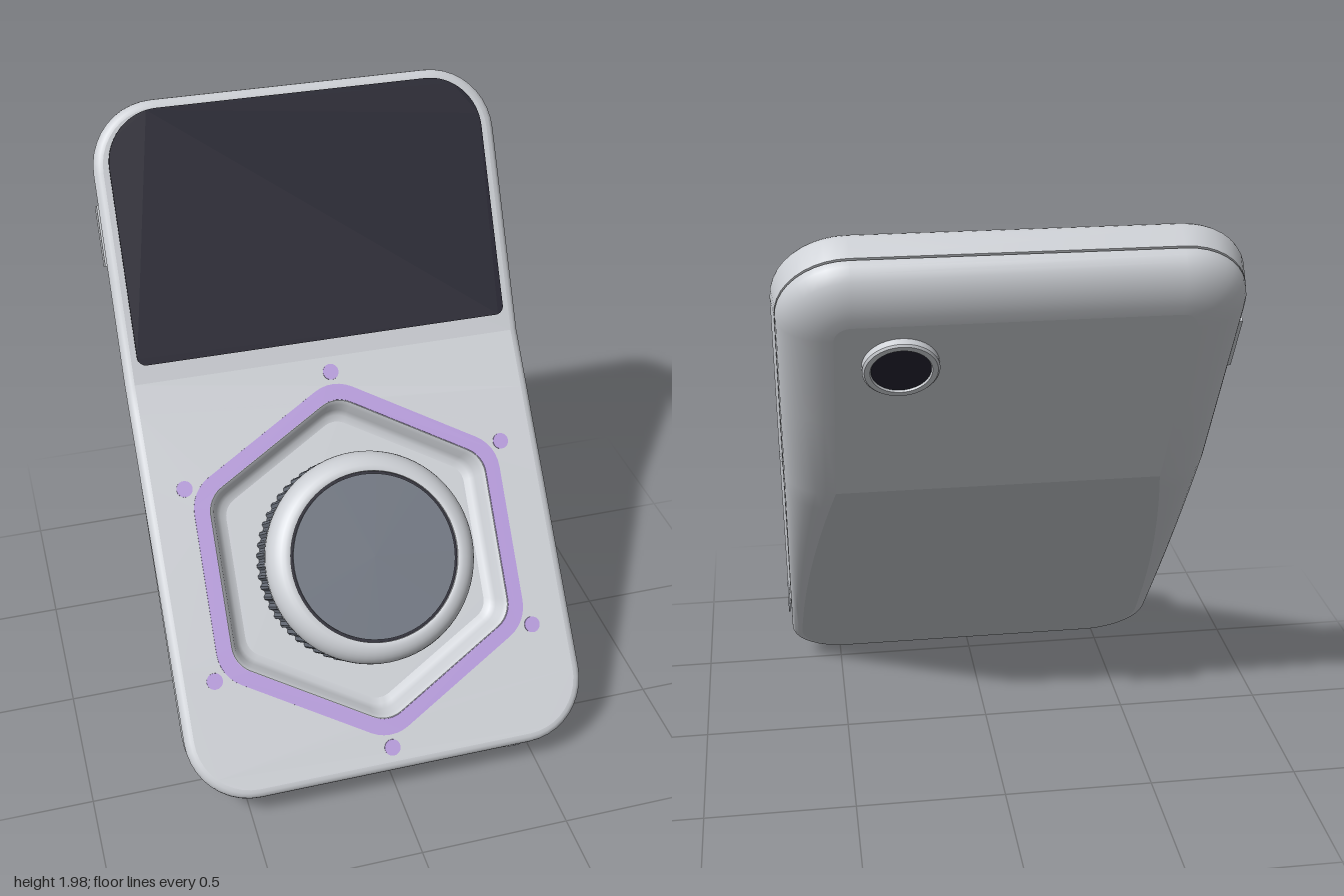
import * as THREE from 'three';
import { toCreasedNormals } from 'three/addons/utils/BufferGeometryUtils.js';

const mat = (name, color) => Object.assign(new THREE.MeshStandardMaterial({ color }), { name });
const { PI, cos, sin, sqrt, tan, abs } = Math;

// Device frame: x across, s along the front face (0 at the bend), d depth behind it
const W = 0.69, LOW = 1.405, UP = 0.92, THICK = 0.208, R = 0.22;
const LOW_TILT = 0.705, UP_TILT = 0.512, BEND_Y = 1.2, BEND_Z = -0.17;
const MITER = tan((LOW_TILT - UP_TILT) / 2);

function place(x, s, d) {
  const low = s < 0, tilt = low ? LOW_TILT : UP_TILT;
  const t = s + (low ? 1 : -1) * MITER * d * (1 - abs(s) / (low ? LOW : UP));
  return new THREE.Vector3(x, BEND_Y + t * cos(tilt) - d * sin(tilt), BEND_Z - t * sin(tilt) - d * cos(tilt));
}

function mesh(name, geometry, material, parent, x = 0, y = 0, z = 0) {
  const m = new THREE.Mesh(geometry, material);
  m.name = name;
  m.position.set(x, y, z);
  parent.add(m);
  return m;
}

// Closed rings joined into a skin
function loft(rings, crease) {
  const n = rings[0].length, index = [];
  for (let i = 0; i + 1 < rings.length; i++) {
    for (let j = 0; j < n; j++) {
      const k = (j + 1) % n, a = i * n + j, b = i * n + k;
      index.push(a, a + n, b, b, a + n, b + n);
    }
  }
  const g = new THREE.BufferGeometry().setFromPoints(rings.flat());
  g.setIndex(index);
  return toCreasedNormals(g, crease);
}

// Rounded outline of the body with its outward directions, counterclockwise
function outline() {
  const pts = [], sides = [-1.1, -0.95, -0.8, -0.65, -0.5, -0.35, -0.2, -0.1, 0, 0.35];
  const corner = (cx, cs, from) => {
    for (let i = 0; i <= 10; i++) {
      const a = from + (i / 10) * PI / 2;
      pts.push({ x: cx + R * cos(a), s: cs + R * sin(a), nx: cos(a), ns: sin(a) });
    }
  };
  corner(W - R, R - LOW, -PI / 2);
  sides.forEach(s => pts.push({ x: W, s, nx: 1, ns: 0 }));
  corner(W - R, UP - R, 0);
  corner(R - W, UP - R, PI / 2);
  [...sides].reverse().forEach(s => pts.push({ x: -W, s, nx: -1, ns: 0 }));
  corner(R - W, R - LOW, PI);
  return pts;
}

// Flat face filling one half of a body ring
function halfFace(ring, low, d, holes, back) {
  const shape = new THREE.Shape(ring.filter(p => (low ? p.s < 1e-6 : p.s > -1e-6)).map(p => new THREE.Vector2(p.x, p.s)));
  shape.holes = holes;
  const g = new THREE.ShapeGeometry(shape), pos = g.attributes.position;
  for (let i = 0; i < pos.count; i++) {
    const p = place(pos.getX(i), pos.getY(i), d);
    pos.setXYZ(i, p.x, p.y, p.z);
  }
  if (back) g.index.array.reverse();
  g.computeVertexNormals();
  return g;
}

// Hexagon with rounded corners around the knob
const HEX_X = -0.005, HEX_S = -0.69;
function hexagon(apothem, r) {
  const pts = [];
  for (let k = 0; k < 6; k++) {
    const mid = PI / 2 + k * PI / 3 - 0.01, c = (apothem - r) / cos(PI / 6);
    for (let i = 0; i <= 6; i++) {
      const a = mid + (i / 6 - 0.5) * PI / 3;
      pts.push(new THREE.Vector2(HEX_X + c * cos(mid) + r * cos(a), HEX_S + c * sin(mid) + r * sin(a)));
    }
  }
  return pts;
}

function roundRect(x0, y0, x1, y1, rb, rt) {
  const s = new THREE.Shape();
  s.absarc(x1 - rb, y0 + rb, rb, -PI / 2, 0);
  s.absarc(x1 - rt, y1 - rt, rt, 0, PI / 2);
  s.absarc(x0 + rt, y1 - rt, rt, PI / 2, PI);
  s.absarc(x0 + rb, y0 + rb, rb, PI, PI * 1.5);
  s.closePath();
  return s;
}

const plate = (shape, depth) => new THREE.ExtrudeGeometry(shape, { depth, bevelEnabled: false, curveSegments: 16 });

export function createModel() {
  const shell = mat('shell grey', 0xcccfd4), backGrey = mat('back panel grey', 0xc0c5c9);
  const accent = mat('lilac', 0xb79cdc), dark = mat('screen black', 0x242330);
  const knobGrey = mat('knob grey', 0x6f7580), hollow = mat('hollow grey', 0x909399);

  const model = new THREE.Group();
  model.name = 'handheldDevice';
  const half = (name, tilt) => {
    const g = new THREE.Group();
    g.name = name;
    g.position.set(0, BEND_Y, BEND_Z);
    g.rotation.x = -tilt;
    model.add(g);
    return g;
  };
  const lower = half('lowerHalf', LOW_TILT), upper = half('upperHalf', UP_TILT);

  // Body skin: small front rounding, seam groove, large back rounding that fades out downwards
  const base = outline(), flat = [];
  const addRing = f => flat.push(base.map(p => {
    const [inset, d] = f(p.s);
    return { x: p.x - p.nx * inset, s: p.s - p.ns * inset, d };
  }));
  for (let i = 0; i <= 4; i++) {
    const a = i / 4 * PI / 2;
    addRing(() => [0.03 * (1 - sin(a)), 0.03 * (1 - cos(a))]);
  }
  [[0.009, 0.099], [0.017, 0.1], [0.017, 0.105], [0.01, 0.106]].forEach(r => addRing(() => r));
  for (let i = 0; i <= 8; i++) {
    const a = i / 8 * PI / 2;
    addRing(s => {
      const k = s >= 0 ? 1 : 0.2 + 0.8 * (1 + s / LOW) ** 2;
      return [0.01 + 0.16 * k * (1 - cos(a)), THICK - 0.1 * k * (1 - sin(a))];
    });
  }
  mesh('bodySides', loft(flat.map(r => r.map(p => place(p.x, p.s, p.d))), 0.6), shell, model);

  const front = flat[0], back = flat[flat.length - 1];
  mesh('lowerFront', halfFace(front, true, 0, [new THREE.Path(hexagon(0.48, 0.1))]), shell, model);
  mesh('upperFront', halfFace(front, false, 0, []), shell, model);
  mesh('upperBack', halfFace(back, false, THICK, [], true), shell, model);
  mesh('backPanel', halfFace(back, true, THICK, [], true), backGrey, model);

  // Screen
  mesh('screen', plate(roundRect(-0.64, 0.06, 0.64, 0.888, 0.03, 0.18), 0.008), dark, upper);

  // Hexagonal recess, its lilac ring and the six dots
  const recess = [[0.42, 0.072], [0.44, 0.066], [0.455, 0.05], [0.468, 0.01], [0.48, 0]];
  mesh('recessWall', loft(recess.map(([a, d]) =>
    hexagon(a, 0.1 - (0.48 - a) * 0.5).map(p => new THREE.Vector3(p.x, p.y, -d))), 0.7), shell, lower);
  mesh('recessFloor', new THREE.ShapeGeometry(new THREE.Shape(hexagon(0.42, 0.07))), shell, lower, 0, 0, -0.072);
  const ring = new THREE.Shape(hexagon(0.533, 0.13));
  ring.holes.push(new THREE.Path(hexagon(0.482, 0.1)));
  mesh('hexRing', plate(ring, 0.004), accent, lower);
  for (let k = 0; k < 6; k++) {
    const a = PI / 2 + k * PI / 3 - 0.01;
    const dot = mesh('dot', new THREE.CylinderGeometry(0.027, 0.027, 0.006, 24), accent, lower,
      HEX_X + 0.638 * cos(a), HEX_S + 0.638 * sin(a), 0.001);
    dot.rotation.x = PI / 2;
  }

  // Knob: ribbed grip, rounded cap, inset disc
  const knob = new THREE.Group();
  knob.name = 'knob';
  knob.position.set(0, HEX_S, 0);
  lower.add(knob);
  const ribs = [];
  for (let i = 0; i < 240; i++) {
    const a = i / 240 * PI * 2, r = i % 4 < 2 ? 0.35 : 0.341;
    ribs.push(new THREE.Vector2(r * cos(a), r * sin(a)));
  }
  mesh('knobGrip', plate(new THREE.Shape(ribs), 0.162), knobGrey, knob, 0, 0, -0.072);
  const profile = [[0.33, 0.088], [0.349, 0.09]];
  for (let i = 0; i <= 8; i++) {
    const a = i / 8 * PI / 2;
    profile.push([0.285 + 0.066 * cos(a), 0.117 + 0.075 * sin(a)]);
  }
  profile.push([0.279, 0.19], [0.278, 0.17]);
  const cap = mesh('knobCap', toCreasedNormals(
    new THREE.LatheGeometry(profile.map(p => new THREE.Vector2(...p)), 72), 0.7), shell, knob);
  const rim = mesh('knobGap', new THREE.CylinderGeometry(0.279, 0.279, 0.01, 64), dark, knob, 0, 0, 0.176);
  const disc = mesh('knobDisc', new THREE.CylinderGeometry(0.27, 0.27, 0.02, 64), knobGrey, knob, 0, 0, 0.178);
  [cap, rim, disc].forEach(m => { m.rotation.x = PI / 2; });

  // Strap openings on the side and on the bottom end
  const slot = () => plate(roundRect(-0.035, -0.058, 0.035, 0.058, 0.0345, 0.0345), 0.006);
  const sideSlot = mesh('strapOpening', slot(), hollow, lower, 0.685, -1.107, -0.095);
  sideSlot.rotation.set(PI / 2, PI / 2, 0, 'YXZ');
  sideSlot.rotation.set(0, PI / 2, PI / 2);
  sideSlot.quaternion.setFromRotationMatrix(new THREE.Matrix4().makeBasis(
    new THREE.Vector3(0, 1, 0), new THREE.Vector3(0, 0, 1), new THREE.Vector3(1, 0, 0)));
  const endSlot = mesh('strapOpening', slot(), hollow, lower, 0.415, 0.001 - LOW, -0.1);
  endSlot.rotation.x = PI / 2;

  // Side button
  mesh('sideButton', new THREE.BoxGeometry(0.02, 0.2, 0.06), shell, upper, -0.684, 0.5, -0.08);

  // Rear camera: ring and lens
  const lensRing = mesh('cameraRing', toCreasedNormals(new THREE.LatheGeometry(
    [[0.112, 0], [0.112, 0.034], [0.106, 0.04], [0.09, 0.04], [0.086, 0.032]].map(p => new THREE.Vector2(...p)), 48), 0.5),
    shell, upper, 0.33, 0.585, -0.195);
  const lens = mesh('cameraLens', new THREE.CylinderGeometry(0.088, 0.088, 0.02, 48), dark, upper, 0.33, 0.585, -0.219);
  [lensRing, lens].forEach(m => { m.rotation.x = -PI / 2; });

  return model;
}
